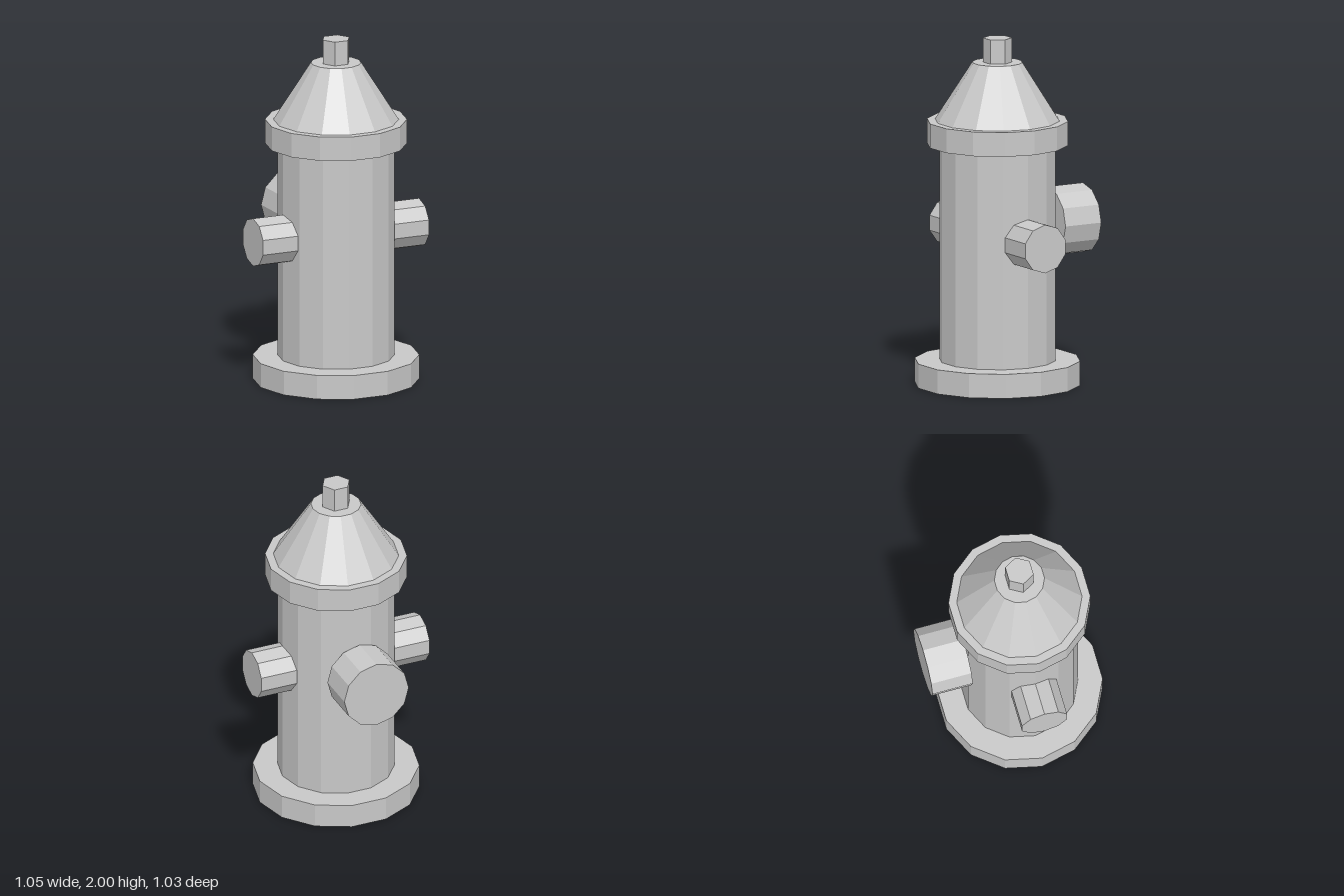
import * as THREE from 'three';

export function createModel() {
  const model = new THREE.Group();
  model.name = 'fireHydrant';
  const castMetal = new THREE.MeshStandardMaterial({ color: 0xc8c8c8, flatShading: true });
  castMetal.name = 'light grey metal';

  const axisZ = 0.053; // the barrel sits forward to balance the rear outlet

  // Faceted prism or cone with a corner on its local x axis
  const prism = (name, rTop, rBottom, length, sides) => {
    const geometry = new THREE.CylinderGeometry(rTop, rBottom, length, sides, 1, false, Math.PI / 2);
    const mesh = new THREE.Mesh(geometry, castMetal);
    mesh.name = name;
    model.add(mesh);
    return mesh;
  };

  // Upright parts: name, bottom y, top y, bottom radius, top radius, sides
  const stack = [
    ['baseFlange', 0, 0.14, 0.474, 0.474, 14],
    ['barrel', 0.14, 1.385, 0.333, 0.333, 14],
    ['topFlange', 1.385, 1.525, 0.404, 0.404, 14],
    ['bonnet', 1.525, 1.86, 0.357, 0.143, 14],
    ['operatingNut', 1.86, 2, 0.083, 0.083, 6],
  ];
  for (const [name, y0, y1, r0, r1, sides] of stack) {
    prism(name, r1, r0, y1 - y0, sides).position.set(0, (y0 + y1) / 2, axisZ);
  }

  // Hose outlets on both sides
  for (const side of [1, -1]) {
    const outlet = prism(side > 0 ? 'leftOutlet' : 'rightOutlet', 0.14, 0.14, 0.273, 10);
    outlet.rotation.z = Math.PI / 2;
    outlet.position.set(side * 0.3865, 0.86, axisZ);
  }

  // Large rear outlet
  const rear = prism('rearOutlet', 0.2, 0.2, 0.238, 12);
  rear.rotation.x = Math.PI / 2;
  rear.position.set(0, 0.907, -0.398);

  return model;
}
